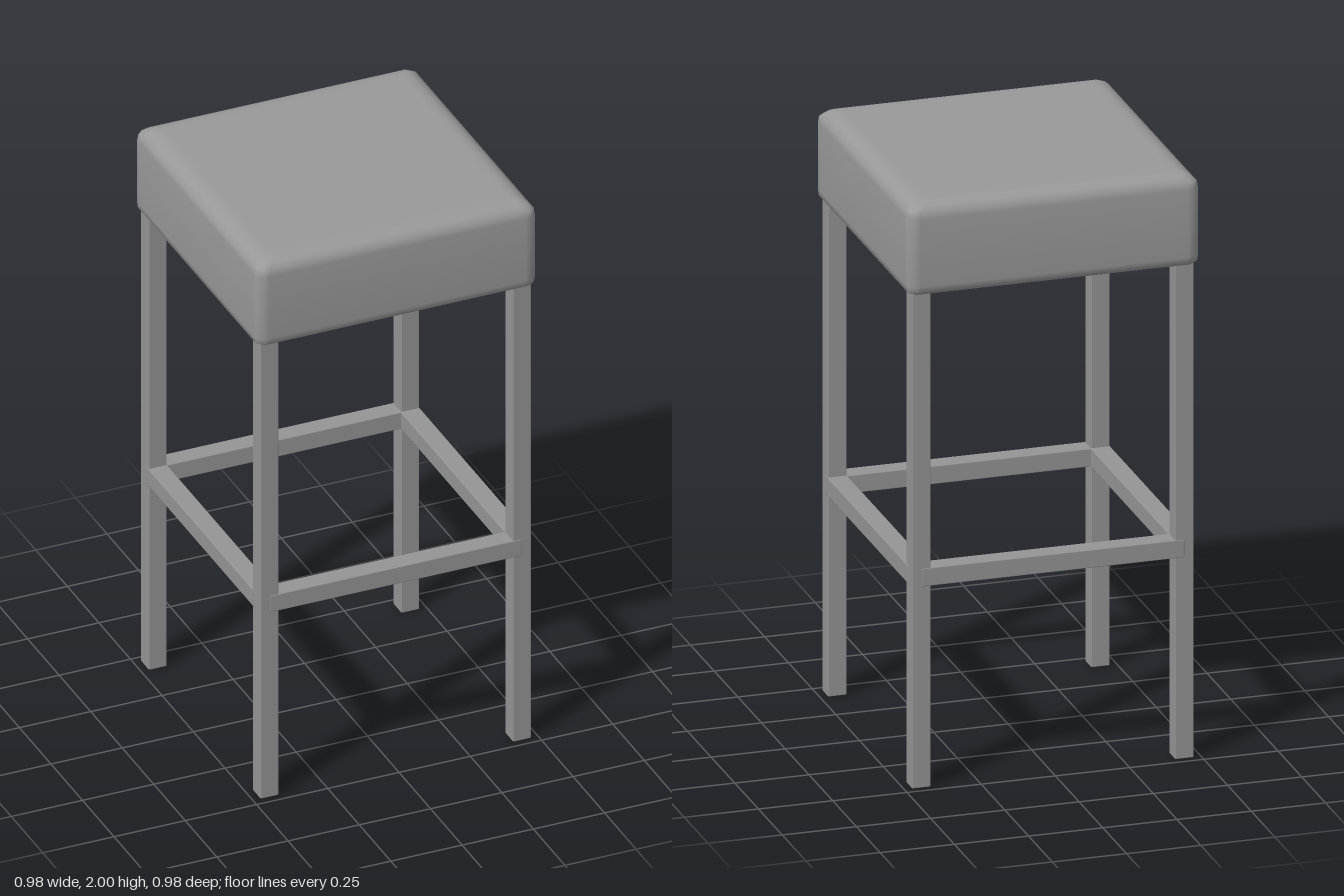
import * as THREE from 'three';
import { toCreasedNormals } from 'three/addons/utils/BufferGeometryUtils.js';
import { RoundedBoxGeometry } from 'three/addons/geometries/RoundedBoxGeometry.js';

const seatMaterial = new THREE.MeshStandardMaterial({ color: 0x999999 });
const frameMaterial = new THREE.MeshStandardMaterial({ color: 0x959595 });

// Square outline with cut corners, counter-clockwise seen from above
function outline(half, cut) {
  const a = half - cut, b = a - 0.02;
  const corner = [[half, b], [half, a], [a, half], [b, half]];
  const points = [];
  for (let q = 0; q < 4; q++) {
    for (const [u, v] of corner) {
      points.push([[u, -v], [-v, -u], [-u, v], [v, u]][q]);
    }
  }
  return points;
}

// Cushion lofted through square loops, softened at the edges, flat on top and below
function cushionGeometry() {
  const loops = [ // height, half width, corner cut
    [1.69, 0.44, 0.01], [1.69, 0.475, 0.015], [1.70, 0.488, 0.02], [1.72, 0.49, 0.02],
    [1.95, 0.49, 0.02], [1.972, 0.487, 0.02], [1.988, 0.47, 0.02], [1.997, 0.45, 0.01],
    [2.0, 0.43, 0.005], [2.0, 0.41, 0.005],
  ];
  const positions = [], index = [], n = 16, last = loops.length - 1;
  for (const [y, half, cut] of loops) {
    for (const [x, z] of outline(half, cut)) positions.push(x, y, z);
  }
  positions.push(0, 1.69, 0, 0, 2, 0);
  const bottom = loops.length * n, top = bottom + 1;
  for (let i = 0; i < n; i++) {
    const j = (i + 1) % n;
    for (let k = 0; k < last; k++) {
      const a = k * n + i, b = k * n + j;
      index.push(a, b, b + n, a, b + n, a + n);
    }
    index.push(bottom, j, i, top, last * n + i, last * n + j);
  }
  const geometry = new THREE.BufferGeometry();
  geometry.setAttribute('position', new THREE.Float32BufferAttribute(positions, 3));
  geometry.setIndex(index);
  return toCreasedNormals(geometry, 0.9);
}

export function createModel() {
  const group = new THREE.Group();
  const add = (name, geometry, material, x, y, z) => {
    const mesh = new THREE.Mesh(geometry, material);
    mesh.name = name;
    mesh.position.set(x, y, z);
    group.add(mesh);
    return mesh;
  };

  add('seatCushion', cushionGeometry(), seatMaterial, 0, 0, 0);

  // Four square legs with slightly eased edges
  const r = 0.443;
  const legGeometry = new RoundedBoxGeometry(0.064, 1.7, 0.064, 1, 0.004);
  for (const [side, sx] of [['Left', 1], ['Right', -1]]) {
    for (const [end, sz] of [['front', 1], ['back', -1]]) {
      add(`${end}${side}Leg`, legGeometry, frameMaterial, sx * r, 0.85, sz * r);
    }
  }

  // Footrest rails, a hair wider than the legs they join
  const railGeometry = new RoundedBoxGeometry(2 * r, 0.063, 0.067, 1, 0.004);
  for (const [i, name] of ['frontRail', 'leftRail', 'backRail', 'rightRail'].entries()) {
    const angle = i * Math.PI / 2;
    const rail = add(name, railGeometry, frameMaterial, Math.sin(angle) * r, 0.72, Math.cos(angle) * r);
    rail.rotation.y = angle;
  }
  return group;
}
